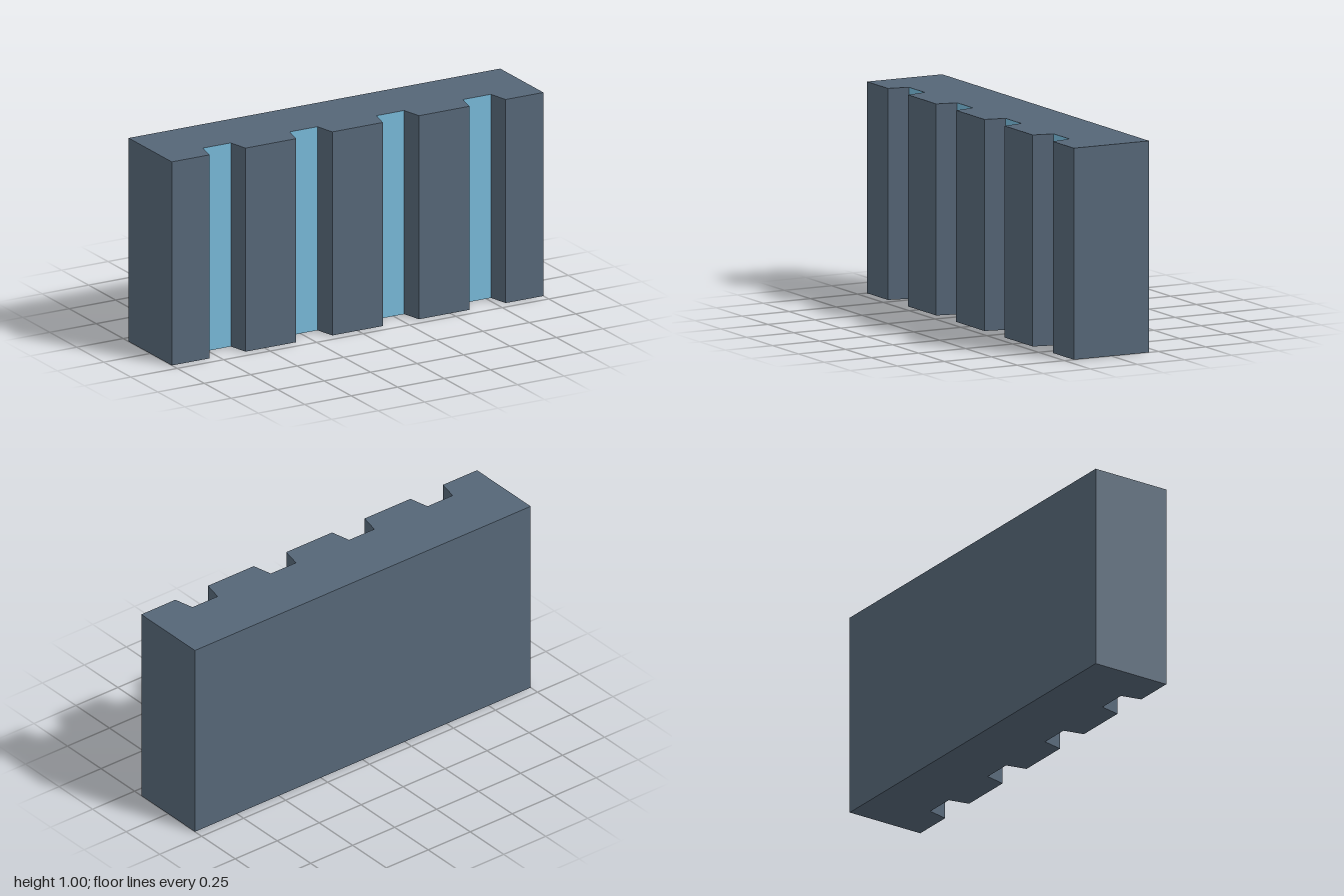
import * as THREE from 'three';

const WIDTH = 2, HEIGHT = 1, FRONT = 0.2, BACK = -0.2;
const FLOOR = 0.1;                       // z of the recess floors
const INNER = 0.075, OUTER = 0.097;      // half widths of a recess, at floor and mouth
const CENTRES = [-0.7, -0.2333, 0.2333, 0.7];

export function createModel() {
  const group = new THREE.Group();
  const wallMaterial = new THREE.MeshStandardMaterial({ color: 0x556677, flatShading: true });
  const glassMaterial = new THREE.MeshStandardMaterial({ color: 0x77b8d8, flatShading: true });

  // Wall: plan outline with four tapered recesses in the front, raised to full height
  const plan = new THREE.Shape();
  plan.moveTo(WIDTH / 2, -BACK);
  plan.lineTo(-WIDTH / 2, -BACK);
  plan.lineTo(-WIDTH / 2, -FRONT);
  for (const x of CENTRES) {
    plan.lineTo(x - OUTER, -FRONT);
    plan.lineTo(x - INNER, -FLOOR);
    plan.lineTo(x + INNER, -FLOOR);
    plan.lineTo(x + OUTER, -FRONT);
  }
  plan.lineTo(WIDTH / 2, -FRONT);
  plan.closePath();
  const wallGeometry = new THREE.ExtrudeGeometry(plan, { depth: HEIGHT, bevelEnabled: false });
  wallGeometry.rotateX(-Math.PI / 2);
  const wall = new THREE.Mesh(wallGeometry, wallMaterial);
  wall.name = 'wall';
  group.add(wall);

  // Window strips: one full-height pane lining each recess floor
  const paneGeometry = new THREE.PlaneGeometry(INNER * 2, HEIGHT);
  CENTRES.forEach((x, i) => {
    const pane = new THREE.Mesh(paneGeometry, glassMaterial);
    pane.position.set(x, HEIGHT / 2, FLOOR + 0.001);
    pane.name = `windowStrip${i + 1}`;
    group.add(pane);
  });

  return group;
}
